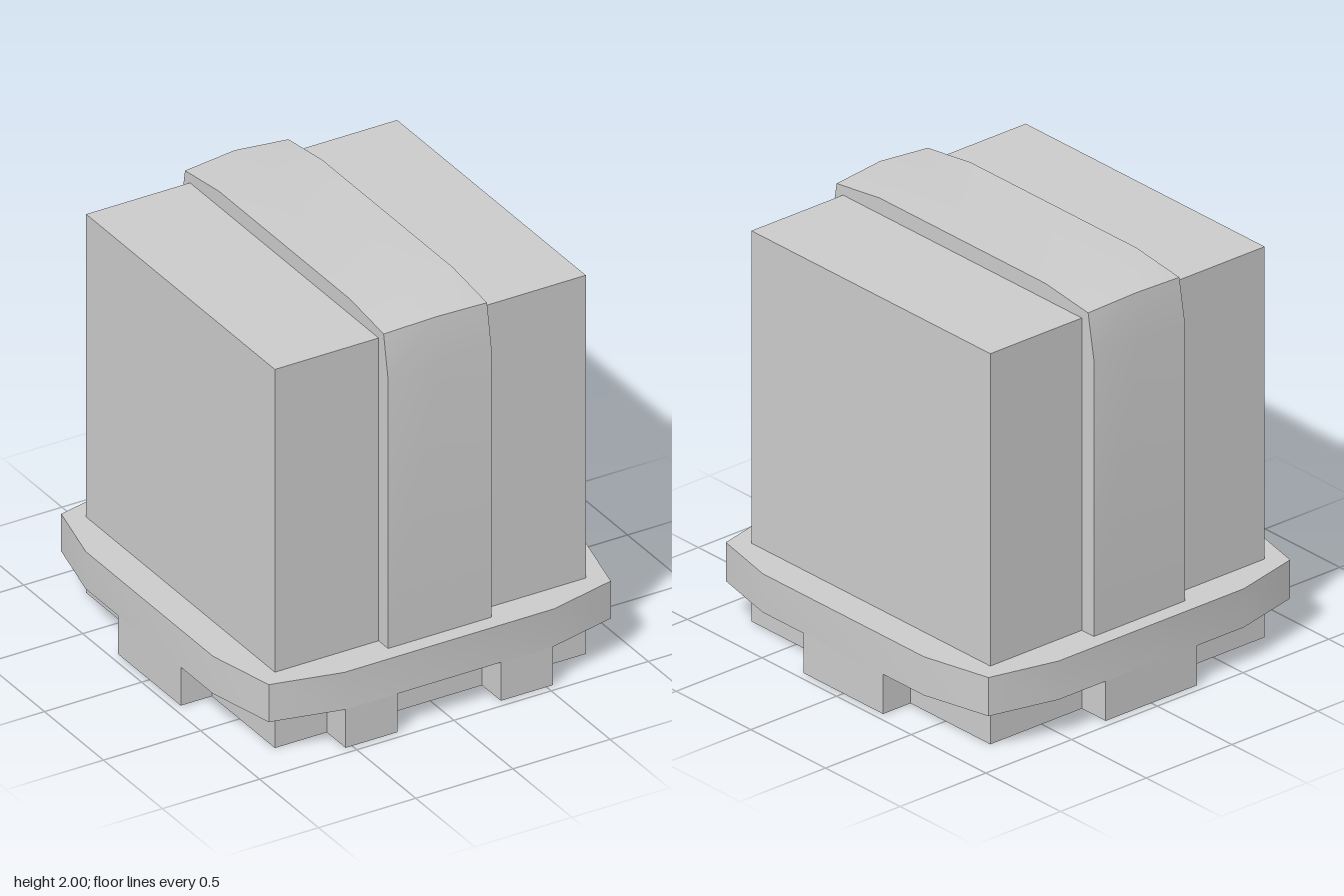
import * as THREE from 'three';
import { toCreasedNormals } from 'three/addons/utils/BufferGeometryUtils.js';

const material = new THREE.MeshStandardMaterial({ color: 0xcccccc });
const HALF = 0.8;      // half width of the box and of the foot
const RIM = 0.96;      // outermost reach of slab and tabs
const FOOT_TOP = 0.195;
const SLAB_TOP = 0.385;
const BOX_TOP = 1.922;

function part(name, geometry, y = 0) {
  const mesh = new THREE.Mesh(geometry, material);
  mesh.name = name;
  mesh.position.y = y;
  return mesh;
}

// Flat plate from four sides, each a list of [along, outward] points; side 0 faces the front
function plate(sides, height) {
  const points = sides.flatMap((side, i) => side.map(([t, out]) =>
    new THREE.Vector2(t, -out).rotateAround(new THREE.Vector2(), i * Math.PI / 2)));
  const geometry = new THREE.ExtrudeGeometry(new THREE.Shape(points), { depth: height, bevelEnabled: false });
  geometry.rotateX(-Math.PI / 2);
  return toCreasedNormals(geometry, Math.PI / 6);
}

// One side of the foot with tabs over the given spans
function tabbedSide(spans) {
  const side = [[-HALF, HALF]];
  for (const [a, b] of spans) side.push([a, HALF], [a, RIM], [b, RIM], [b, HALF]);
  return side;
}

// Strap over the box: cross-section swept across x, with its corners slightly crowned in the middle
function strapGeometry() {
  const w = 0.266;
  const section = (cz, cy) => [
    [0.88, SLAB_TOP], [0.88, 1.75], [cz, cy], [0.555, 2],
    [-0.555, 2], [-cz, cy], [-0.88, 1.75], [-0.88, SLAB_TOP],
  ];
  const rows = [[-w, 0.842, 1.963], [0, 0.857, 1.98], [w, 0.842, 1.963]]
    .map(([x, cz, cy]) => section(cz, cy).map(([z, y]) => [x, y, z]));
  const n = rows[0].length;
  const positions = [];
  const triangle = (...corners) => corners.forEach((c) => positions.push(...c));

  // outer skin
  for (let r = 0; r < 2; r++) {
    for (let i = 0; i < n - 1; i++) {
      const a = rows[r][i], b = rows[r + 1][i], c = rows[r + 1][i + 1], d = rows[r][i + 1];
      triangle(a, b, c);
      triangle(a, c, d);
    }
  }
  // flat edges
  const [left, , right] = rows;
  for (let i = 1; i < n - 1; i++) {
    triangle(left[0], left[i], left[i + 1]);
    triangle(right[0], right[i + 1], right[i]);
  }
  const geometry = new THREE.BufferGeometry();
  geometry.setAttribute('position', new THREE.Float32BufferAttribute(positions, 3));
  return toCreasedNormals(geometry, Math.PI / 6);
}

export function createModel() {
  const model = new THREE.Group();
  model.name = 'strappedBox';

  // foot: two tabs at the front, one on each other side
  const single = tabbedSide([[-0.266, 0.266]]);
  const double = tabbedSide([[-0.533, -0.266], [0.266, 0.533]]);
  model.add(part('foot', plate([double, single, single, single], FOOT_TOP)));

  // slab with bowed sides
  const bowed = [[-0.88, 0.88], [-0.54, RIM], [0.54, RIM]];
  model.add(part('slab', plate([bowed, bowed, bowed, bowed], SLAB_TOP - FOOT_TOP), FOOT_TOP));

  // box
  const height = BOX_TOP - SLAB_TOP;
  model.add(part('box', new THREE.BoxGeometry(HALF * 2, height, HALF * 2), SLAB_TOP + height / 2));

  // strap
  model.add(part('strap', strapGeometry()));
  return model;
}
